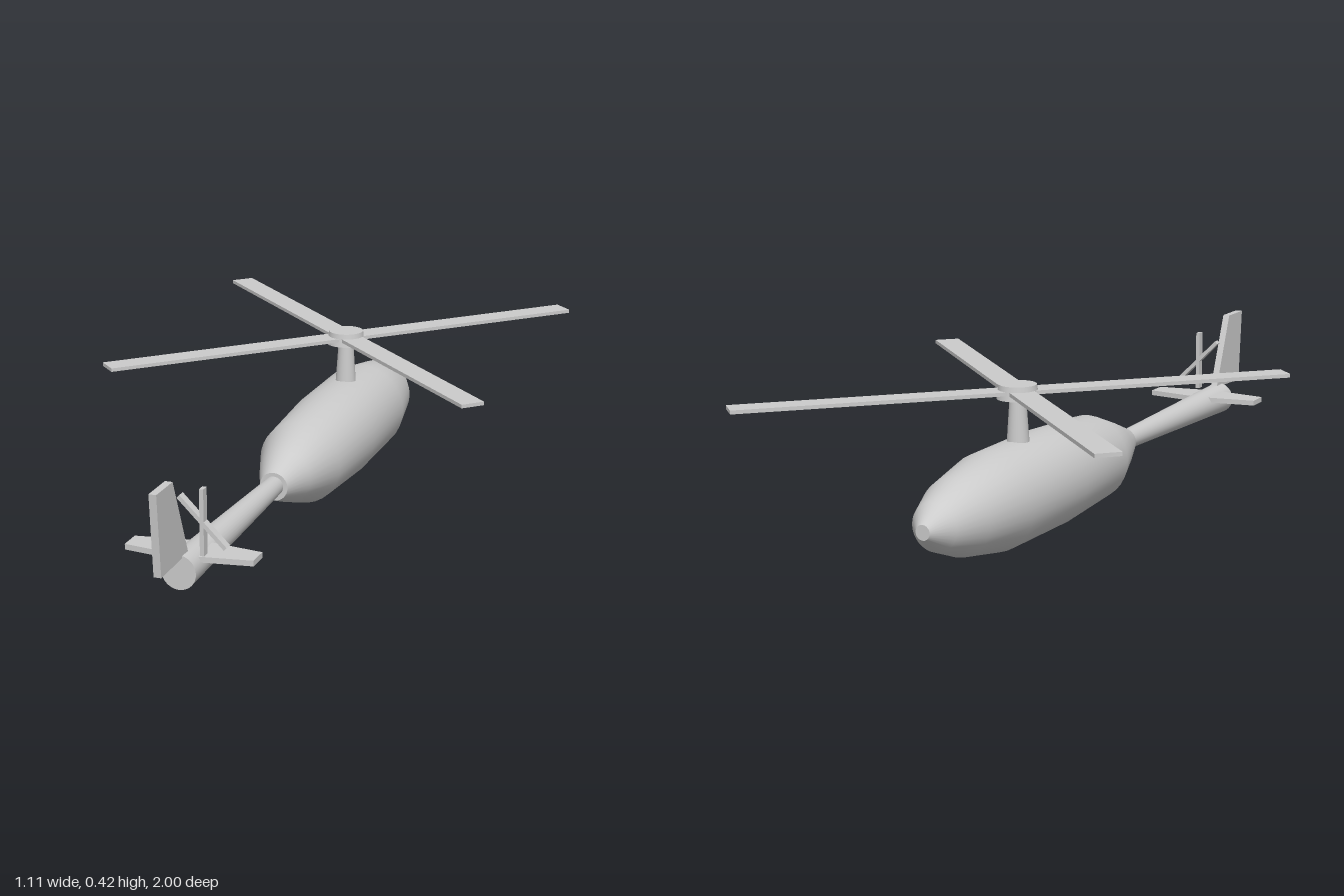
import * as THREE from 'three';

const material = new THREE.MeshStandardMaterial({ color: 0xcccccc });
const AXIS_Y = 0.138; // height of the fuselage and boom axis
const ROTOR_Z = -0.445; // main rotor axis

function part(parent, name, geometry, x = 0, y = 0, z = 0) {
  const mesh = new THREE.Mesh(geometry, material);
  mesh.name = name;
  mesh.position.set(x, y, z);
  parent.add(mesh);
  return mesh;
}

// Flat plate of the given outline, centred on its thickness
function plate(points, thickness) {
  const shape = new THREE.Shape(points.map(([a, b]) => new THREE.Vector2(a, b)));
  return new THREE.ExtrudeGeometry(shape, { depth: thickness, bevelEnabled: false })
    .translate(0, 0, -thickness / 2);
}

export function createModel() {
  const model = new THREE.Group();
  model.name = 'helicopter';

  // Fuselage: [radius, distance towards the nose], nose along -z
  const profile = [
    [0.04, -0.175], [0.075, -0.085], [0.119, 0.04], [0.134, 0.31],
    [0.132, 0.6], [0.102, 0.77], [0.064, 0.87], [0.02, 0.925],
  ].map(([r, d]) => new THREE.Vector2(r, d));
  part(model, 'fuselage', new THREE.LatheGeometry(profile, 32).rotateX(-Math.PI / 2), 0, AXIS_Y, 0);
  part(model, 'noseCap', new THREE.CircleGeometry(0.02, 32).rotateY(Math.PI), 0, AXIS_Y, -0.925);
  part(model, 'fuselageRearCap', new THREE.CircleGeometry(0.04, 32), 0, AXIS_Y, 0.175);

  // Tail boom, widening to the rear
  part(model, 'tailBoom',
    new THREE.CylinderGeometry(0.027, 0.046, 0.69, 32).rotateX(-Math.PI / 2), 0, AXIS_Y + 0.002, 0.505);

  // Upright fin, outline in (z, y)
  const fin = plate([[0.98, 0.175], [1.0, 0.393], [0.9, 0.393], [0.81, 0.18]], 0.02);
  part(model, 'tailFin', fin.rotateY(-Math.PI / 2));

  // Tailplane, outline in (x, -z)
  const tailplane = plate([
    [-0.172, -0.785], [-0.035, -0.805], [0.035, -0.805], [0.172, -0.785],
    [0.172, -0.723], [0.035, -0.703], [-0.035, -0.703], [-0.172, -0.723],
  ], 0.015);
  part(model, 'tailplane', tailplane.rotateX(-Math.PI / 2), 0, 0.162, 0);

  // Tail rotor: one upright and one diagonal blade
  const tailRotor = new THREE.Group();
  tailRotor.name = 'tailRotor';
  tailRotor.position.set(0.048, 0.263, 0.803);
  for (const angle of [0, Math.PI / 4]) {
    part(tailRotor, 'tailRotorBlade', new THREE.BoxGeometry(0.011, 0.174, 0.023)).rotation.z = angle;
  }
  model.add(tailRotor);

  // Main rotor: mast, hub and two crossed blade bars
  part(model, 'rotorMast', new THREE.CylinderGeometry(0.021, 0.031, 0.145, 32), 0, 0.3225, ROTOR_Z);
  part(model, 'rotorHub', new THREE.CylinderGeometry(0.05, 0.056, 0.038, 32), 0, 0.401, ROTOR_Z);
  for (const side of [-1, 1]) {
    part(model, 'rotorBlades', new THREE.BoxGeometry(1.5, 0.01, 0.068), 0, 0.401, ROTOR_Z)
      .rotation.y = side * Math.PI / 4;
  }

  return model;
}
